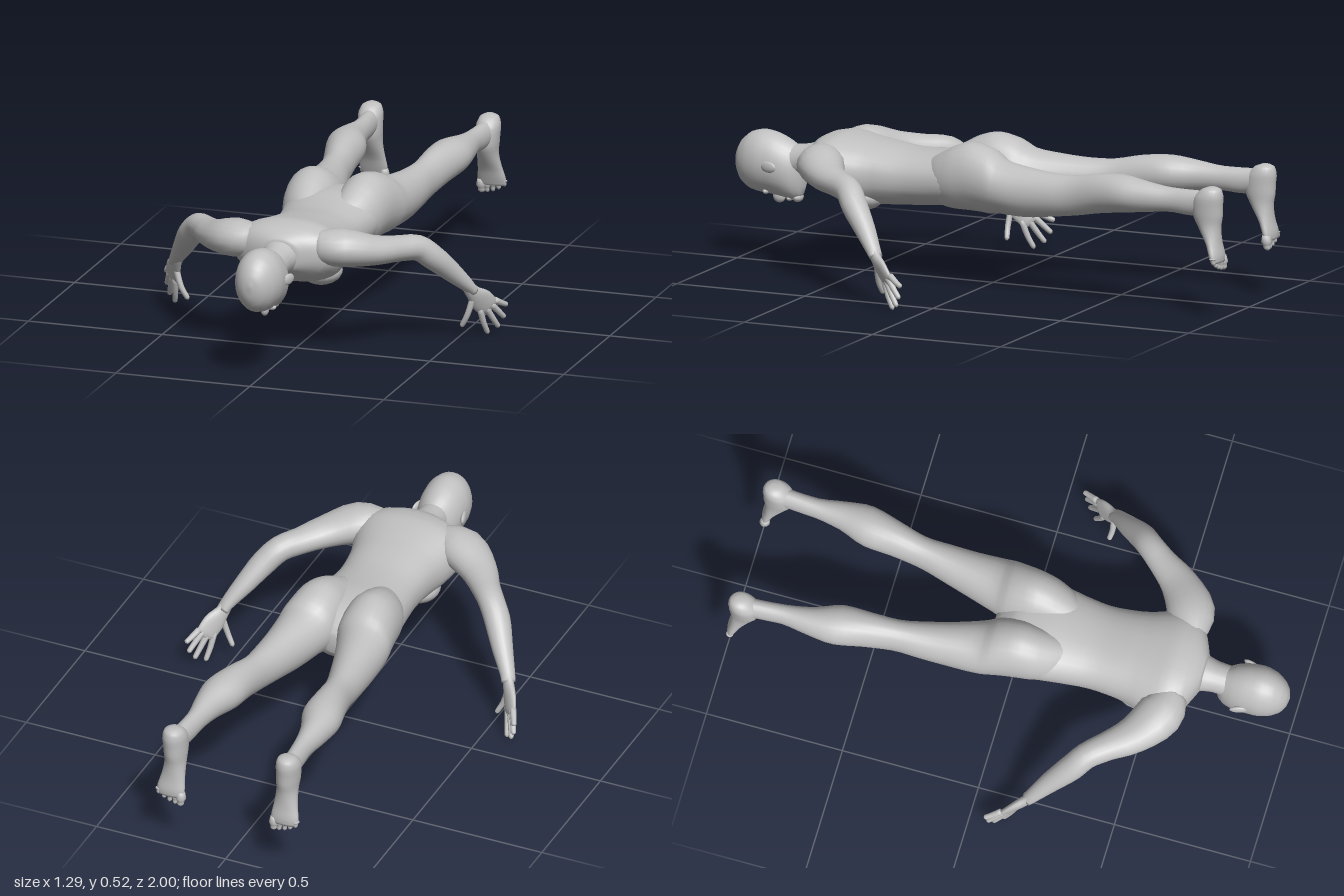
import * as THREE from 'three';

const V = (x, y, z) => new THREE.Vector3(x, y, z);
const X = V(1, 0, 0), Y = V(0, 1, 0), Z = V(0, 0, 1);

// Closed tube through rows [x, y, z, halfWidth, halfDepth].
// With "side" given all sections stay parallel, otherwise they follow the path.
function loft(rows, { up = Y, side = null, steps = 3, sides = 20, power = 1 } = {}) {
  const path = new THREE.CatmullRomCurve3(rows.map(r => V(r[0], r[1], r[2])));
  const size = new THREE.CatmullRomCurve3(rows.map(r => V(r[3], r[4], 0)));
  const n = (rows.length - 1) * steps;
  const pos = [], index = [];
  const soft = v => Math.sign(v) * Math.abs(v) ** power;
  let flip = false;
  for (let i = 0; i <= n; i++) {
    const c = path.getPoint(i / n), s = size.getPoint(i / n), d = path.getTangent(i / n);
    const u = side ? side : up.clone().cross(d).normalize();
    const w = side ? up : d.clone().cross(u).normalize();
    flip = u.clone().cross(w).dot(d) < 0;
    for (let j = 0; j < sides; j++) {
      const t = (j / sides) * Math.PI * 2;
      const p = c.clone().addScaledVector(u, soft(Math.cos(t)) * s.x).addScaledVector(w, soft(Math.sin(t)) * s.y);
      pos.push(p.x, p.y, p.z);
    }
  }
  const tri = (a, b, c) => (flip ? index.push(a, c, b) : index.push(a, b, c));
  for (let i = 0; i < n; i++) {
    for (let j = 0; j < sides; j++) {
      const k = (j + 1) % sides, a = i * sides, b = a + sides;
      tri(a + j, a + k, b + j);
      tri(a + k, b + k, b + j);
    }
  }
  // end caps
  const first = rows[0], last = rows[rows.length - 1], c0 = pos.length / 3;
  pos.push(...first.slice(0, 3), ...last.slice(0, 3));
  for (let j = 0; j < sides; j++) {
    const k = (j + 1) % sides;
    tri(c0, k, j);
    tri(c0 + 1, n * sides + j, n * sides + k);
  }
  const g = new THREE.BufferGeometry();
  g.setAttribute('position', new THREE.Float32BufferAttribute(pos, 3));
  g.setIndex(index);
  g.computeVertexNormals();
  return g;
}

// Rows along z: [z, centreX, halfWidth, top, bottom]
const alongZ = (rows, s = 1) => rows.map(([z, x, w, t, b]) => [x * s, (t + b) / 2, z, w, (t - b) / 2]);

export function createModel() {
  const body = new THREE.Group();
  body.name = 'floatingFigure';
  const skin = new THREE.MeshStandardMaterial({ color: 0xc0c0c0 });
  skin.name = 'plain grey';

  const add = (name, geometry, parent = body) => {
    const m = new THREE.Mesh(geometry, skin);
    m.name = name;
    parent.add(m);
    return m;
  };
  const blob = (name, p, r, parent) => {
    const m = add(name, new THREE.SphereGeometry(1, 20, 14), parent);
    m.position.set(...p);
    m.scale.set(...r);
    return m;
  };

  // Trunk from neck base to pelvis
  add('torso', loft(alongZ([
    [0.69, 0, 0.06, 0.45, 0.34], [0.665, 0, 0.12, 0.472, 0.325], [0.63, 0, 0.18, 0.49, 0.3],
    [0.57, 0, 0.205, 0.5, 0.27], [0.5, 0, 0.188, 0.49, 0.252], [0.45, 0, 0.172, 0.482, 0.25],
    [0.4, 0, 0.162, 0.475, 0.255], [0.3, 0, 0.155, 0.462, 0.262], [0.2, 0, 0.166, 0.465, 0.27],
    [0.1, 0, 0.18, 0.475, 0.28], [0.0, 0, 0.17, 0.465, 0.28], [-0.06, 0, 0.09, 0.42, 0.29],
    [-0.08, 0, 0.03, 0.39, 0.32],
  ]), { side: X, sides: 32, power: 0.88 }));

  add('neck', loft([
    [0, 0.395, 0.62, 0.09, 0.08], [0, 0.39, 0.68, 0.068, 0.062],
    [0, 0.383, 0.73, 0.056, 0.056], [0, 0.37, 0.8, 0.055, 0.06],
  ], { side: X }));

  // Head, face downward
  const head = new THREE.Group();
  head.name = 'head';
  body.add(head);
  add('skull', loft(alongZ([
    [1.0, 0, 0.004, 0.375, 0.36], [0.993, 0, 0.03, 0.405, 0.32], [0.975, 0, 0.054, 0.437, 0.285],
    [0.94, 0, 0.076, 0.466, 0.26], [0.89, 0, 0.087, 0.477, 0.25], [0.84, 0, 0.085, 0.468, 0.245],
    [0.8, 0, 0.077, 0.452, 0.238], [0.77, 0, 0.064, 0.435, 0.234], [0.748, 0, 0.046, 0.42, 0.245],
    [0.735, 0, 0.024, 0.38, 0.28],
  ]), { side: X, sides: 28 }), head);
  blob('nose', [0, 0.24, 0.835], [0.014, 0.023, 0.024], head);
  blob('lips', [0, 0.238, 0.792], [0.026, 0.011, 0.011], head);
  blob('chin', [0, 0.243, 0.762], [0.028, 0.018, 0.018], head);

  for (const s of [1, -1]) {
    const tag = s > 0 ? 'left' : 'right';
    const mir = rows => rows.map(([x, ...rest]) => [x * s, ...rest]);

    blob(tag + 'Eyelid', [0.035 * s, 0.262, 0.87], [0.019, 0.011, 0.011], head);
    const ear = blob(tag + 'Ear', [0.088 * s, 0.36, 0.838], [0.009, 0.02, 0.034], head);
    ear.rotation.y = -0.25 * s;
    blob(tag + 'Chest', [0.085 * s, 0.29, 0.47], [0.075, 0.05, 0.08]);

    // Buttock, thigh and calf
    add(tag + 'Leg', loft(alongZ([
      [0.22, 0.07, 0.04, 0.44, 0.34], [0.16, 0.085, 0.08, 0.475, 0.29], [0.1, 0.096, 0.092, 0.507, 0.28],
      [0.03, 0.1, 0.1, 0.525, 0.28], [-0.05, 0.108, 0.104, 0.506, 0.277], [-0.1, 0.119, 0.097, 0.475, 0.283],
      [-0.2, 0.135, 0.08, 0.46, 0.282], [-0.3, 0.15, 0.066, 0.452, 0.295], [-0.4, 0.163, 0.054, 0.455, 0.31],
      [-0.5, 0.178, 0.062, 0.474, 0.33], [-0.6, 0.192, 0.073, 0.48, 0.345], [-0.7, 0.206, 0.051, 0.467, 0.358],
      [-0.8, 0.208, 0.034, 0.455, 0.367], [-0.88, 0.213, 0.032, 0.455, 0.362], [-0.95, 0.218, 0.034, 0.455, 0.375],
    ], s), { side: X, sides: 24 }));

    // Foot hanging from the heel: [y, centreX, halfWidth, instepZ, soleZ]
    const foot = [
      [0.474, 0.22, 0.014, -0.945, -0.975], [0.464, 0.22, 0.034, -0.92, -0.993],
      [0.43, 0.22, 0.044, -0.89, -1.0], [0.375, 0.218, 0.042, -0.885, -0.997],
      [0.33, 0.217, 0.039, -0.905, -0.99], [0.27, 0.219, 0.046, -0.942, -0.992],
      [0.23, 0.221, 0.053, -0.958, -0.999], [0.205, 0.221, 0.05, -0.968, -0.998],
    ].map(([y, x, w, f, b]) => [x * s, y, (f + b) / 2, w, (f - b) / 2]);
    add(tag + 'Foot', loft(foot, { side: X, up: Z }));
    for (let i = 0; i < 5; i++) {
      const x = 0.181 + i * 0.021, tip = 0.172 + i * i * 0.0018, r = i ? 0.0095 : 0.014;
      add(tag + 'Toe' + (i + 1), loft(mir([
        [x, 0.225, -0.98, r, r], [x, tip + 0.02, -0.983, r, r],
        [x, tip + 0.006, -0.985, r * 0.85, r * 0.85], [x, tip, -0.986, r * 0.3, r * 0.3],
      ]), { side: X, up: Z, sides: 10 }));
    }

    // Shoulder to wrist
    add(tag + 'Arm', loft(mir([
      [0.1, 0.415, 0.605, 0.05, 0.055], [0.2, 0.415, 0.58, 0.085, 0.068], [0.295, 0.395, 0.51, 0.068, 0.053],
      [0.36, 0.385, 0.43, 0.052, 0.046], [0.41, 0.375, 0.37, 0.047, 0.046], [0.45, 0.335, 0.33, 0.047, 0.045],
      [0.5, 0.265, 0.265, 0.038, 0.036], [0.545, 0.2, 0.21, 0.027, 0.023], [0.555, 0.18, 0.195, 0.025, 0.018],
    ])));

    // Open hand with spread fingers
    const hand = new THREE.Group();
    hand.name = tag + 'Hand';
    body.add(hand);
    const palmUp = V(-0.67 * s, 0.22, -0.58).normalize();
    add('palm', loft(mir([
      [0.54, 0.21, 0.218, 0.022, 0.018], [0.555, 0.175, 0.195, 0.027, 0.018], [0.575, 0.14, 0.162, 0.042, 0.016],
      [0.59, 0.11, 0.135, 0.04, 0.013], [0.595, 0.097, 0.125, 0.028, 0.007],
    ]), { up: palmUp }), hand);
    const fingers = {
      thumb: [[0.558, 0.165, 0.19], [0.535, 0.09, 0.195], [0.51, 0.042, 0.188]],
      indexFinger: [[0.569, 0.105, 0.157], [0.576, 0.05, 0.138], [0.585, 0.004, 0.115]],
      middleFinger: [[0.585, 0.11, 0.142], [0.602, 0.06, 0.112], [0.615, 0.022, 0.086]],
      ringFinger: [[0.6, 0.118, 0.127], [0.618, 0.082, 0.095], [0.631, 0.055, 0.069]],
      littleFinger: [[0.609, 0.13, 0.115], [0.625, 0.112, 0.085], [0.637, 0.1, 0.06]],
    };
    for (const [name, [a, b, c]] of Object.entries(fingers)) {
      const near = b.map((v, i) => v + (c[i] - v) * 0.85);
      add(name, loft(mir([
        [...a, 0.012, 0.012], [...b, 0.0105, 0.0105], [...near, 0.009, 0.009], [...c, 0.003, 0.003],
      ]), { up: palmUp, sides: 10 }), hand);
    }
  }
  return body;
}
